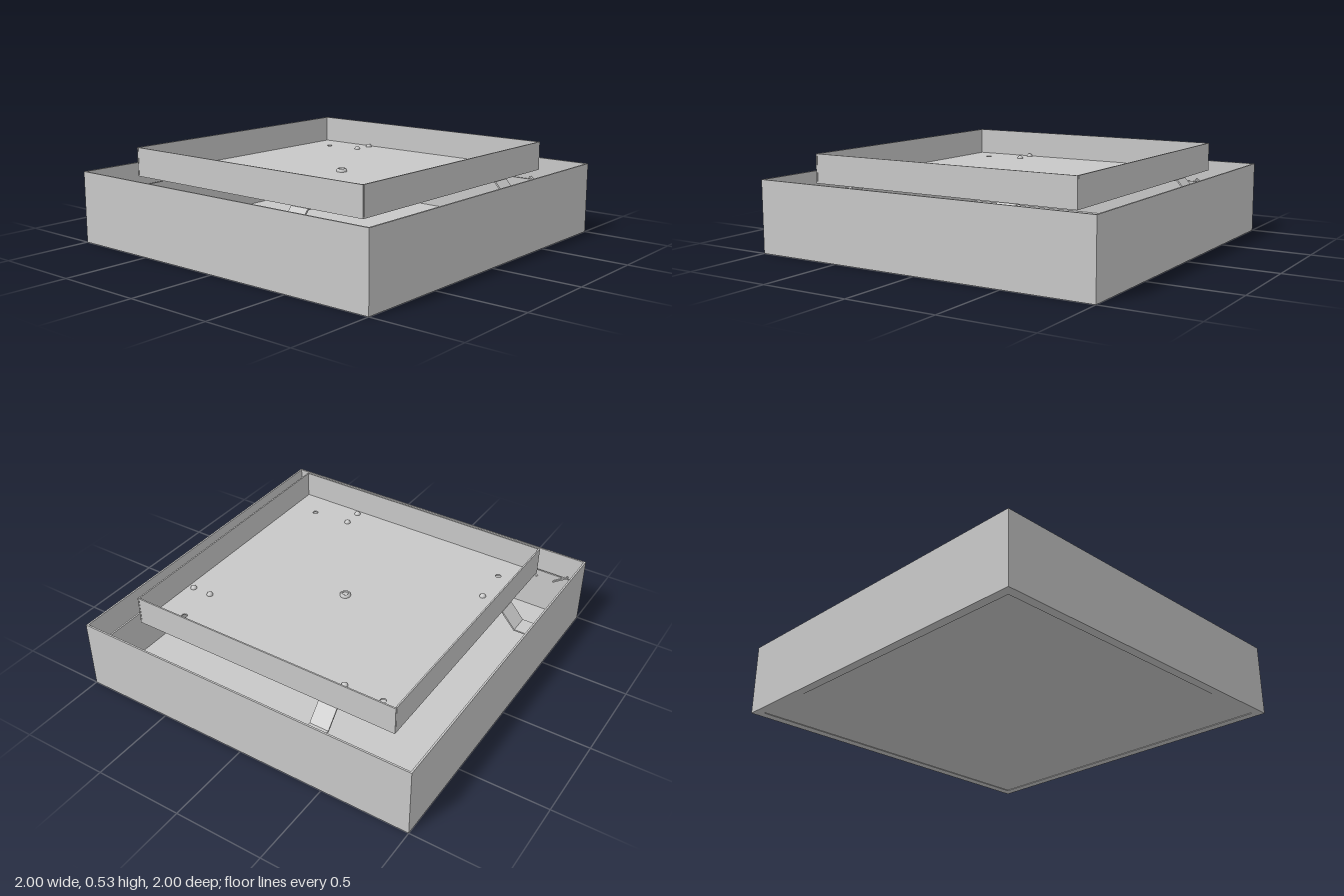
import * as THREE from 'three';

export function createModel() {
  const model = new THREE.Group();
  const paint = new THREE.MeshStandardMaterial({ color: 0xc8c8c8 });
  paint.name = 'lightGreyMetal';

  const add = (parent, name, geometry, x = 0, y = 0, z = 0) => {
    const mesh = new THREE.Mesh(geometry, paint);
    mesh.name = name;
    mesh.position.set(x, y, z);
    parent.add(mesh);
    return mesh;
  };
  const box = (parent, name, x0, x1, y0, y1, z0, z1) =>
    add(parent, name, new THREE.BoxGeometry(x1 - x0, y1 - y0, z1 - z0),
      (x0 + x1) / 2, (y0 + y1) / 2, (z0 + z1) / 2);

  // Square plate lying flat, with optional holes cut through it
  const square = (h, PathType) => {
    const p = new PathType();
    p.moveTo(-h, -h); p.lineTo(h, -h); p.lineTo(h, h); p.lineTo(-h, h); p.closePath();
    return p;
  };
  const plate = (half, depth, holes) => {
    const shape = square(half, THREE.Shape);
    shape.holes.push(...holes);
    return new THREE.ExtrudeGeometry(shape, { depth, bevelEnabled: false, curveSegments: 12 })
      .rotateX(-Math.PI / 2);
  };

  // Housing: outer skin, bottom lip, low inner frame and diffuser panel
  add(model, 'housingWall', plate(1, 0.4, [square(0.99, THREE.Path)]));
  add(model, 'bottomLip', plate(0.99, 0.012, [square(0.95, THREE.Path)]));
  add(model, 'innerFrame', plate(0.965, 0.26, [square(0.955, THREE.Path)]), 0, 0.012, 0);
  box(model, 'diffuserPanel', -0.948, 0.948, 0.003, 0.015, -0.948, 0.948);

  // Raised tray floor with four small round holes
  const tray = new THREE.Group();
  tray.name = 'tray';
  tray.position.x = 0.005;
  model.add(tray);
  const holes = [];
  for (const x of [-0.63, 0.63]) for (const z of [-0.63, 0.63]) {
    holes.push(new THREE.Path().absarc(x, z, 0.016, 0, Math.PI * 2, true));
  }
  add(tray, 'trayFloor', plate(0.795, 0.008, holes), 0, 0.37, 0);

  // Cable grommet in the centre
  const ring = [[0.016, 0], [0.016, 0.014], [0.022, 0.018], [0.03, 0.01], [0.03, 0]]
    .reverse().map(([r, y]) => new THREE.Vector2(r, y)).reverse();
  const grommet = new THREE.LatheGeometry(
    ring.reverse(), 24);
  add(tray, 'grommet', grommet, 0, 0.378, 0);
  add(tray, 'grommetCap', new THREE.CylinderGeometry(0.017, 0.017, 0.01, 20), 0, 0.383, 0);

  // Z-shaped bracket profile: (distance from centre, height)
  const profile = [[0.62, 0.368], [0.79, 0.368], [0.87, 0.278], [0.965, 0.278],
    [0.965, 0.27], [0.866, 0.27], [0.786, 0.36], [0.62, 0.36]];
  const bracketShape = new THREE.Shape(profile.map(([d, y]) => new THREE.Vector2(d, y)));
  const bracketGeometry = new THREE.ExtrudeGeometry(bracketShape, { depth: 0.11, bevelEnabled: false })
    .rotateY(-Math.PI / 2);
  const screwGeometry = new THREE.SphereGeometry(0.018, 16, 8, 0, Math.PI * 2, 0, Math.PI / 2);

  // Everything on one side repeats at each quarter turn
  for (let i = 0; i < 4; i++) {
    const side = new THREE.Group();
    side.name = 'side' + (i + 1);
    side.rotation.y = i * Math.PI / 2;
    model.add(side);

    // Tray flange, stopping short of its neighbour at the corner
    const flange = new THREE.Group();
    flange.name = 'trayFlange';
    flange.rotation.y = i * Math.PI / 2;
    tray.add(flange);
    box(flange, 'flange', -0.785, 0.795, 0.37, 0.53, 0.787, 0.795);

    // Mounting bracket and its two screws
    add(side, 'bracket', bracketGeometry, 0.46, 0, 0);
    for (const z of [0.64, 0.755]) add(side, 'screw', screwGeometry, 0.405, 0.378, z);

    // Sloping spring tabs on the inner frame
    [[-0.88, -0.6], [-0.695, 0.6]].forEach(([x, tilt]) => {
      const tab = box(side, 'springTab', x - 0.05, x + 0.05, 0.255, 0.263, 0.942, 0.962);
      tab.rotation.z = tilt;
    });
  }
  return model;
}
